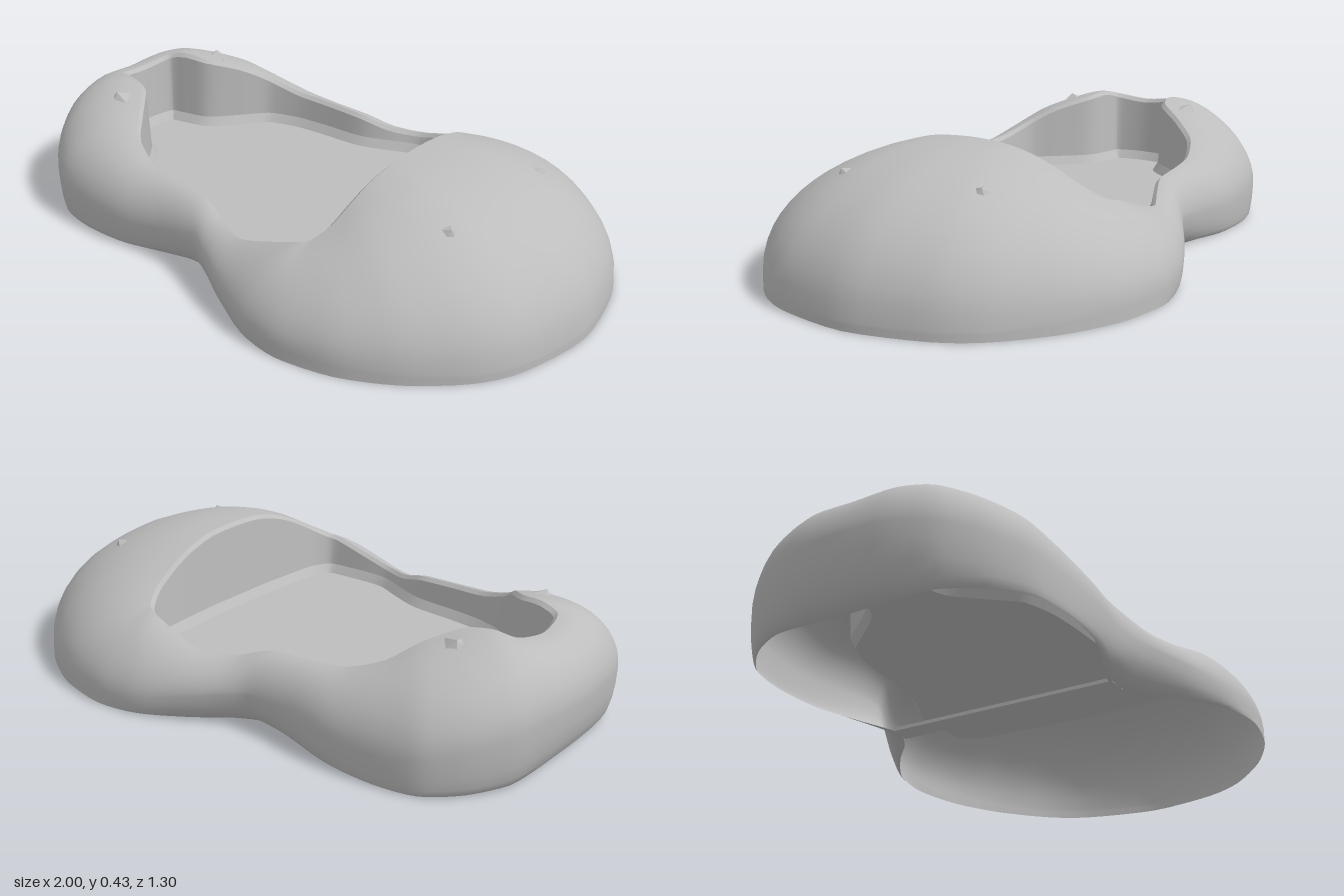
import * as THREE from 'three';

const shellGrey = new THREE.MeshStandardMaterial({ color: 0xbdbdbd, side: THREE.DoubleSide });
shellGrey.name = 'shell grey';

const FLOOR_Y = 0.135;
const COLUMNS = 136;

// Half plan: outer x, z | rim x, z, y | height of widest point, inset of the foot, roundness of the section
const HALF = [
  [1.0, 0, 0.37, 0, 0.427, 0.03, 0, 1.03],
  [0.95, 0.25, 0.37, 0.12, 0.42, 0.03, 0, 1],
  [0.87, 0.39, 0.365, 0.22, 0.395, 0.03, 0, 0.97],
  [0.72, 0.525, 0.36, 0.3, 0.36, 0.04, 0, 0.9],
  [0.55, 0.615, 0.35, 0.38, 0.315, 0.05, 0, 0.75],
  [0.36, 0.652, 0.32, 0.44, 0.28, 0.05, 0, 0.67],
  [0.2, 0.635, 0.27, 0.465, 0.265, 0.06, 0.015, 0.67],
  [0.05, 0.575, 0.07, 0.475, 0.205, 0.09, 0.05, 0.75],
  [-0.06, 0.52, -0.05, 0.43, 0.21, 0.11, 0.09, 0.85],
  [-0.14, 0.488, -0.15, 0.395, 0.24, 0.12, 0.1, 0.9],
  [-0.28, 0.485, -0.3, 0.385, 0.25, 0.11, 0.05, 0.9],
  [-0.45, 0.507, -0.42, 0.37, 0.26, 0.1, 0.02, 0.9],
  [-0.62, 0.505, -0.53, 0.33, 0.3, 0.1, 0.01, 0.9],
  [-0.76, 0.48, -0.6, 0.25, 0.35, 0.12, 0.015, 0.95],
  [-0.87, 0.4, -0.68, 0.16, 0.385, 0.15, 0.03, 1],
  [-0.95, 0.29, -0.76, 0.135, 0.395, 0.18, 0.05, 1],
  [-0.99, 0.15, -0.83, 0.11, 0.38, 0.2, 0.08, 1],
  [-1.0, 0, -0.85, 0, 0.365, 0.2, 0.09, 1],
];

// Closed, mirrored curve through one point per row
function loopCurve(pick) {
  const near = HALF.map(pick);
  const far = near.slice(1, -1).reverse().map(p => new THREE.Vector3(p.x, p.y, -p.z));
  const curve = new THREE.CatmullRomCurve3([...near, ...far], true, 'catmullrom', 0.4);
  return Array.from({ length: COLUMNS }, (_, i) => curve.getPoint(i / COLUMNS));
}

// Skin through a list of closed rings, outermost or lowest ring first
function skin(rings) {
  const positions = [], indices = [];
  for (const ring of rings) for (const p of ring) positions.push(p.x, p.y, p.z);
  for (let r = 0; r < rings.length - 1; r++) {
    for (let i = 0; i < COLUMNS; i++) {
      const j = (i + 1) % COLUMNS;
      const a = r * COLUMNS + i, b = r * COLUMNS + j;
      indices.push(a, a + COLUMNS, b, b, a + COLUMNS, b + COLUMNS);
    }
  }
  const geometry = new THREE.BufferGeometry();
  geometry.setAttribute('position', new THREE.Float32BufferAttribute(positions, 3));
  geometry.setIndex(indices);
  geometry.computeVertexNormals();
  return geometry;
}

export function createModel() {
  const model = new THREE.Group();
  model.name = 'hollowShell';
  const add = (name, geometry) => {
    const mesh = new THREE.Mesh(geometry, shellGrey);
    mesh.name = name;
    model.add(mesh);
    return mesh;
  };

  const outer = loopCurve(r => new THREE.Vector3(r[0], r[5], r[1]));
  const rim = loopCurve(r => new THREE.Vector3(r[2], r[4], r[3]));
  const roundness = loopCurve(r => new THREE.Vector3(r[7], 0, 0));
  const foot = loopCurve(r => {
    const inward = new THREE.Vector2(r[2] - r[0], r[3] - r[1]).setLength(r[6]);
    return new THREE.Vector3(r[0] + inward.x, 0, r[1] + inward.y);
  });

  // Point on the section: s from -1 (foot) through 0 (widest) to 1 (rim)
  const section = (i, s) => {
    const angle = Math.abs(s) * Math.PI / 2;
    const end = s < 0 ? foot[i] : rim[i];
    const across = 1 - Math.cos(angle);
    const rise = THREE.MathUtils.lerp(across, Math.sin(angle), s < 0 ? 1 : roundness[i].x);
    const p = outer[i].clone().lerp(end, across);
    p.y = outer[i].y + (end.y - outer[i].y) * rise;
    return p;
  };
  const bodyRings = [];
  for (let k = -5; k <= 12; k++) {
    const s = k < 0 ? k / 5 : k / 12;
    bodyRings.push(outer.map((_, i) => section(i, s)));
  }
  add('body', skin(bodyRings));

  // Bevelled lip, upright wall and bevelled foot of the recess
  const inset = (d, height) => rim.map((p, i) => {
    const before = rim[(i + COLUMNS - 1) % COLUMNS], after = rim[(i + 1) % COLUMNS];
    const along = new THREE.Vector2(after.x - before.x, after.z - before.z).normalize();
    return new THREE.Vector3(p.x - along.y * d, height(p), p.z + along.x * d);
  });
  const lip = inset(0.012, p => p.y - 0.012);
  const wallFoot = inset(0.02, () => FLOOR_Y + 0.03);
  const floorEdge = inset(0.038, () => FLOOR_Y);
  add('recessLip', skin([rim, lip]));
  add('recessWall', skin([lip, wallFoot]));
  add('recessBevel', skin([wallFoot, floorEdge]));

  // Flat floor of the recess
  const floorShape = new THREE.Shape(floorEdge.map(p => new THREE.Vector2(p.x, -p.z)));
  const floor = add('recessFloor', new THREE.ShapeGeometry(floorShape).rotateX(-Math.PI / 2));
  floor.position.y = FLOOR_Y;

  // Thin bridge across the waist underneath
  const bridge = add('waistBridge', new THREE.BoxGeometry(0.075, 0.012, 0.8));
  bridge.position.set(-0.125, 0.007, 0);

  // Four small faceted studs, mostly sunk into the two raised ends
  const studGeometry = new THREE.ConeGeometry(0.05, 0.035, 5).toNonIndexed();
  studGeometry.computeVertexNormals();
  for (const [x, y, tilt] of [[-0.71, 0.37, 0.25], [0.67, 0.345, -0.5]]) {
    for (const side of [1, -1]) {
      const stud = add('stud', studGeometry);
      stud.position.set(x, y, side * 0.24);
      stud.rotation.set(side * 0.35, 0, tilt);
    }
  }
  return model;
}
